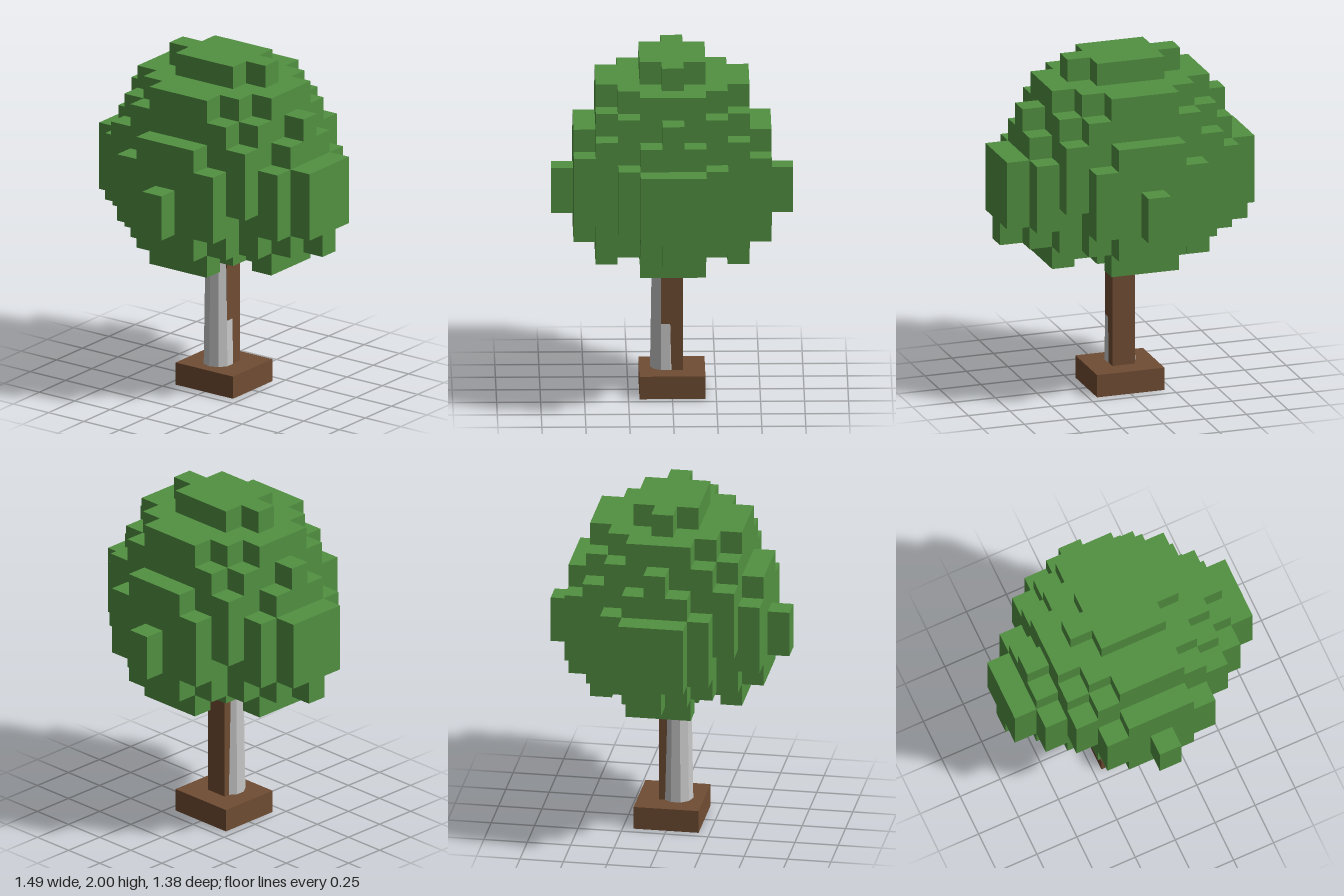
import * as THREE from 'three';
import { mergeGeometries } from 'three/addons/utils/BufferGeometryUtils.js';

// block size along each axis
const CX = 0.1353, CY = 0.1333, CZ = 0.125;

// Crown layers from the bottom up: reach in x (blocks from the centre) for rows |z| = 0, 1, 2...
const LAYERS = [
  [3, 3, 1, 1],
  [5, 4, 3, 2, 1],
  [5, 5, 4, 2, 2, 0],
  [5, 5, 4, 3, 2, 0],
  [5, 5, 4, 3, 2],
  [4, 4, 3, 3, 1],
  [4, 3, 3, 2],
  [3, 3, 2, 1],
  [2, 1],
];

// small notches on the underside
const NOTCHES = ['2,1', '1,2'];

function filled(i, j, k) {
  const x = Math.abs(i), z = Math.abs(k);
  if (j === 0 && NOTCHES.includes(`${x},${z}`)) return false;
  const reach = LAYERS[j]?.[z];
  return reach !== undefined && x <= reach;
}

// Only the exposed block faces are built
function crownGeometry() {
  const dirs = [[1, 0, 0], [-1, 0, 0], [0, 1, 0], [0, -1, 0], [0, 0, 1], [0, 0, -1]];
  const sides = dirs.map(([x, y, z]) => {
    const side = new THREE.PlaneGeometry(1, 1).translate(0, 0, 0.5);
    if (y) side.rotateX(-y * Math.PI / 2);
    else side.rotateY(Math.atan2(x, z));
    return side;
  });
  const faces = [];
  for (let j = 0; j < LAYERS.length; j++)
    for (let i = -5; i <= 5; i++)
      for (let k = -5; k <= 5; k++) {
        if (!filled(i, j, k)) continue;
        dirs.forEach(([x, y, z], n) => {
          if (!filled(i + x, j + y, k + z))
            faces.push(sides[n].clone().translate(i, j + 0.5, k));
        });
      }
  return mergeGeometries(faces).scale(CX, CY, CZ).translate(0, 6 * CY, 0);
}

export function createModel() {
  const green = new THREE.MeshStandardMaterial({ name: 'leafGreen', color: 0x529141 });
  const brown = new THREE.MeshStandardMaterial({ name: 'barkBrown', color: 0x704d33 });
  const grey = new THREE.MeshStandardMaterial({ name: 'lightGrey', color: 0xc8c8c8 });
  grey.flatShading = true;

  const model = new THREE.Group();
  model.name = 'blockTree';
  const add = (name, geometry, material, x, y, z) => {
    const mesh = new THREE.Mesh(geometry, material);
    mesh.name = name;
    mesh.position.set(x, y, z);
    model.add(mesh);
  };

  add('crown', crownGeometry(), green, 0, 0, 0);
  add('base', new THREE.BoxGeometry(3 * CX, CY, 3 * CZ), brown, 0, CY / 2, 0);
  add('trunk', new THREE.BoxGeometry(CX, 5.2 * CY, CZ), brown, 0, 3.5 * CY, 0);
  // tapered post standing against the front of the trunk
  add('post', new THREE.CylinderGeometry(0.078, 0.09, 0.781, 10), grey, -0.012, 0.3895, 0.037);
  return model;
}
